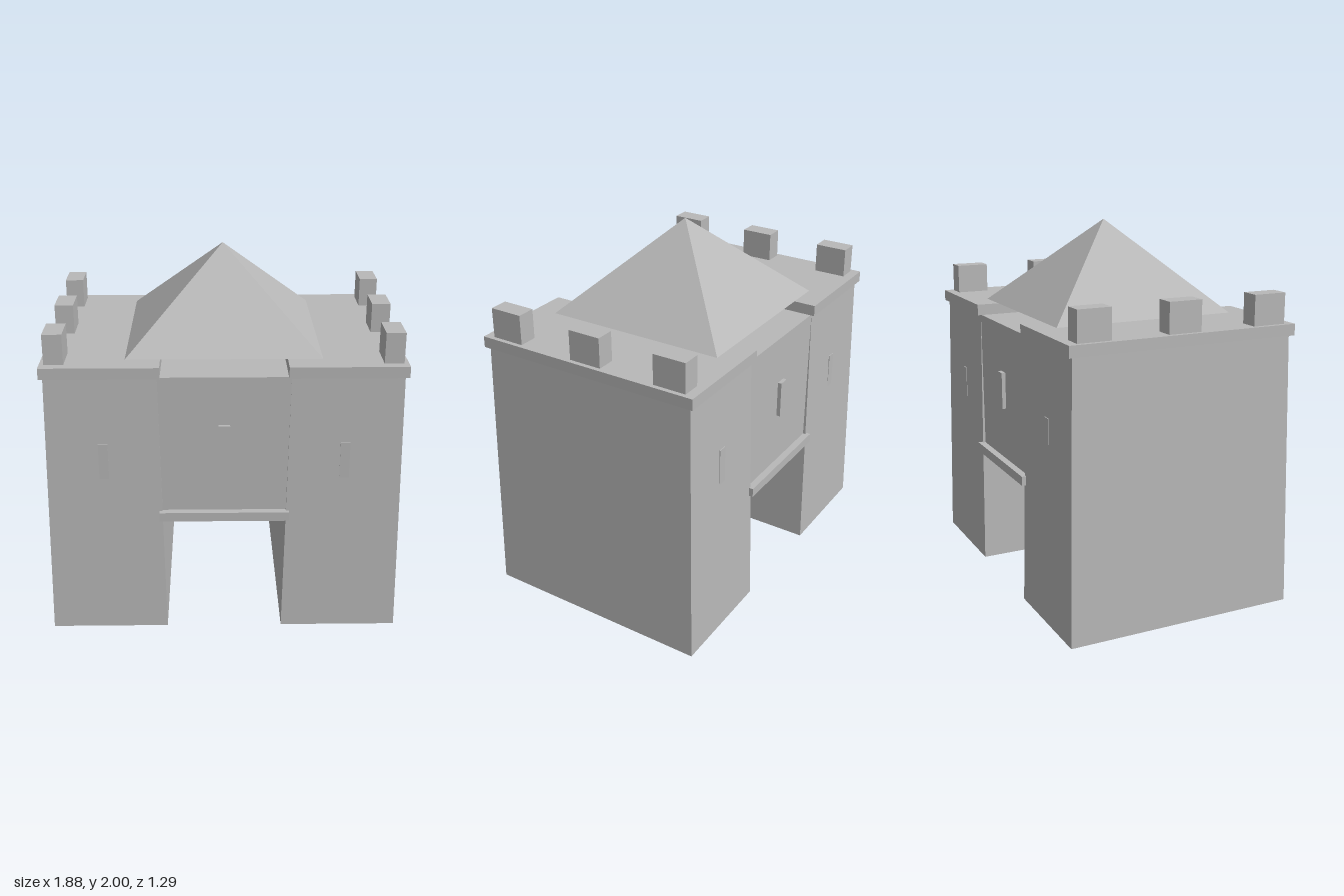
import * as THREE from 'three';

export function createModel() {
  const model = new THREE.Group();
  model.name = 'gatehouse';
  const stone = new THREE.MeshStandardMaterial({ color: 0xb8b8b8 });
  stone.name = 'grey stone';

  function add(name, geometry, x, y, z) {
    const mesh = new THREE.Mesh(geometry, stone);
    mesh.name = name;
    mesh.position.set(x, y, z);
    model.add(mesh);
    return mesh;
  }

  // Box given by its lower and upper limits on each axis
  function block(name, [x0, x1], [y0, y1], [z0, z1]) {
    return add(name, new THREE.BoxGeometry(x1 - x0, y1 - y0, z1 - z0),
      (x0 + x1) / 2, (y0 + y1) / 2, (z0 + z1) / 2);
  }

  // Box that narrows towards the top
  function taperedBox(w, h, d, topW, topD) {
    const g = new THREE.BoxGeometry(w, h, d);
    const p = g.attributes.position;
    for (let i = 0; i < p.count; i++) {
      if (p.getY(i) > 0) {
        p.setX(i, p.getX(i) * topW / w);
        p.setZ(i, p.getZ(i) * topD / d);
      }
    }
    g.computeVertexNormals();
    return g;
  }

  // Side towers with parapet slabs, battlements and arrow slits
  for (const [side, s] of [['left', 1], ['right', -1]]) {
    const span = (a, b) => (s > 0 ? [a, b] : [-b, -a]);
    add(side + 'Tower', taperedBox(0.625, 1.46, 1.266, 0.572, 1.212), s * 0.6255, 0.73, 0);
    block(side + 'ParapetSlab', span(0.325, 0.93), [1.46, 1.52], [-0.628, 0.628]);
    for (const z of [-0.487, 0, 0.487]) {
      block(side + 'Merlon', span(0.806, 0.906), [1.52, 1.68], [z - 0.09, z + 0.09]);
    }
    block(side + 'ArrowSlits', span(0.6, 0.65), [0.9, 1.1], [-0.617, 0.617]);
  }

  // Room over the passage
  block('gateRoom', [-0.34, 0.34], [0.66, 1.46], [-0.605, 0.605]);

  // Ledge and window slit on the front and back
  for (const [end, s] of [['front', 1], ['back', -1]]) {
    const depth = (b) => (s > 0 ? [0.58, b] : [-b, -0.58]);
    block(end + 'Ledge', [-0.342, 0.342], [0.66, 0.71], depth(0.643));
    block(end + 'WindowSlit', [-0.03, 0.03], [1.0, 1.2], depth(0.626));
  }

  // Pyramid roof
  const roof = new THREE.ConeGeometry(0.505 * Math.SQRT2, 0.48, 4, 1).toNonIndexed();
  roof.rotateY(Math.PI / 4);
  roof.computeVertexNormals();
  add('roof', roof, 0, 1.76, 0);

  return model;
}
